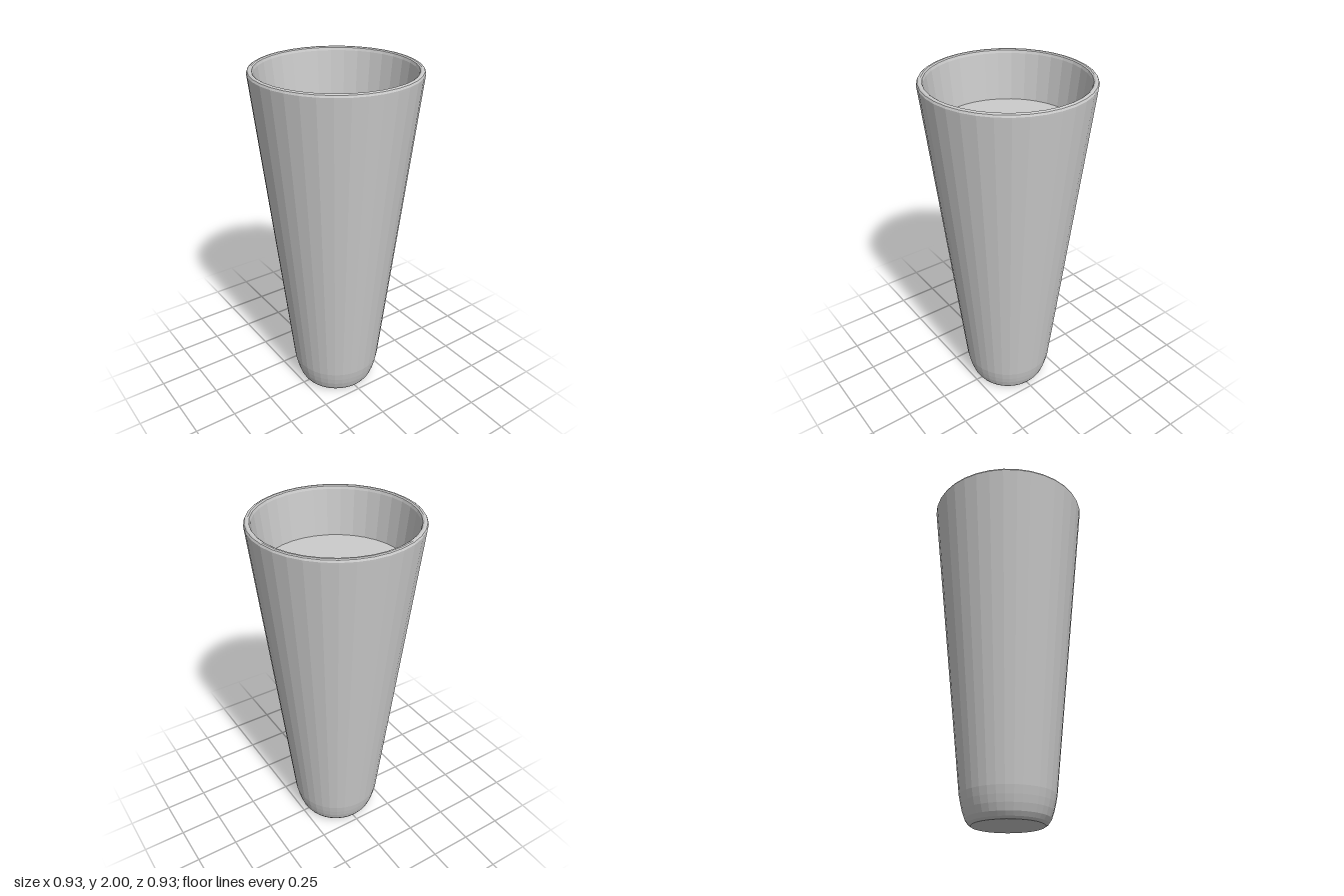
import * as THREE from 'three';

const SIDES = 35;

// Flat-shaded faceted solid of revolution, first vertex pointing to -z
function turned(name, profile) {
  const points = profile.map(([r, y]) => new THREE.Vector2(r, y));
  const geometry = new THREE.LatheGeometry(points, SIDES, Math.PI);
  const material = new THREE.MeshStandardMaterial({ color: 0xcccccc, flatShading: true });
  const mesh = new THREE.Mesh(geometry, material);
  mesh.name = name;
  return mesh;
}

export function createModel() {
  const model = new THREE.Group();
  model.name = 'tumbler';

  // Tapered glass: base, outer wall, rounded rim, inner wall and floor
  model.add(turned('glass', [
    [0, 0], [0.2, 0], [0.217, 0.012], [0.232, 0.035], [0.246, 0.075], [0.256, 0.115], [0.265, 0.16],
    [0.463, 1.975], [0.464, 1.985], [0.459, 1.996], [0.452, 2], [0.443, 2], [0.435, 1.995], [0.43, 1.98],
    [0.235, 0.2], [0.22, 0.14], [0.19, 0.1], [0, 0.1],
  ]));

  // Level surface of the drink
  model.add(turned('drinkSurface', [[0.401, 1.72], [0, 1.72]]));

  return model;
}
